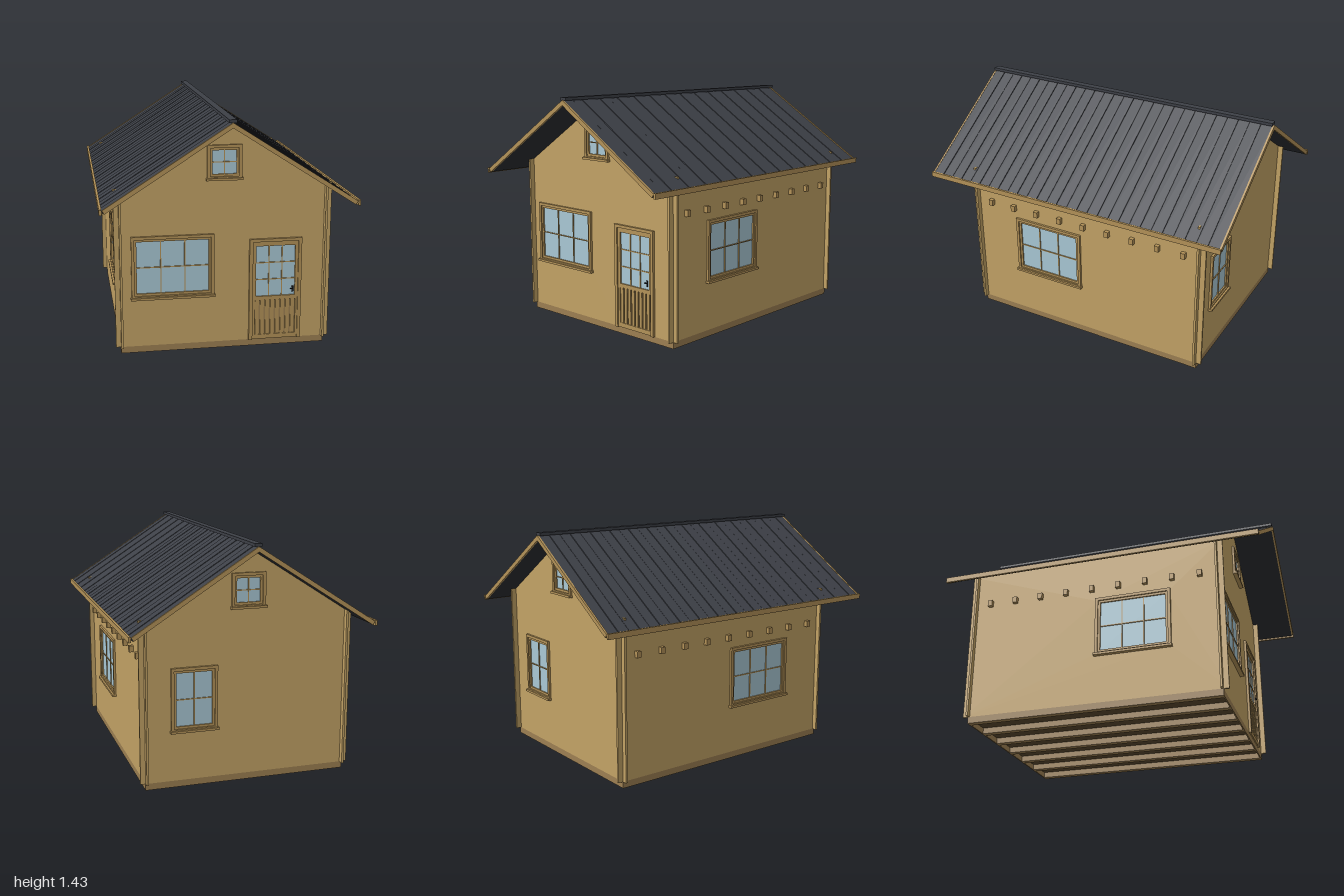
import * as THREE from 'three';

const mat = (color, side = THREE.FrontSide) => new THREE.MeshStandardMaterial({ color, side });
const WALL = mat(0xc2a265), TRIM = mat(0xb39258), BASE = mat(0x9c7f52), FLOOR = mat(0x5c4a2e);
const ROOF = mat(0x3d4047), GAP = mat(0x2b2d31), GLASS = mat(0xa9c8d5), DARK = mat(0x222326);

// Outer wall faces and roof pitch
const X = 0.62, ZF = 0.732, ZB = -0.834, T = 0.013, PITCH = 0.64;

function add(parent, name, geometry, material, x = 0, y = 0, z = 0) {
  const mesh = new THREE.Mesh(geometry, material);
  mesh.name = name;
  mesh.position.set(x, y, z);
  parent.add(mesh);
  return mesh;
}

// Box given by its minimum and maximum corners
function box(parent, name, material, x0, x1, y0, y1, z0, z1) {
  return add(parent, name, new THREE.BoxGeometry(x1 - x0, y1 - y0, z1 - z0), material,
    (x0 + x1) / 2, (y0 + y1) / 2, (z0 + z1) / 2);
}

const rectPoints = (x0, x1, y0, y1) =>
  [[x0, y0], [x1, y0], [x1, y1], [x0, y1]].map(([x, y]) => new THREE.Vector2(x, y));

// Flat plate with rectangular holes, extruded from z = 0 towards +z
function plate(points, holes, depth) {
  const shape = new THREE.Shape(points);
  for (const h of holes) shape.holes.push(new THREE.Path(rectPoints(...h).reverse()));
  return new THREE.ExtrudeGeometry(shape, { depth, bevelEnabled: false });
}

// Roof-shaped layer running from z0 to z1, ends cut square to the slope
function chevron(apex, half, thick, z0, z1) {
  const low = apex - PITCH * half, inset = thick * 0.45;
  const pts = [[0, apex], [-half, low], [-half + inset, low - thick + PITCH * inset], [0, apex - thick],
    [half - inset, low - thick + PITCH * inset], [half, low]].map(([x, y]) => new THREE.Vector2(x, y));
  return plate(pts, [], z1 - z0).translate(0, 0, z0);
}

// Glazing bars over a pane
function bars(group, x0, x1, y0, y1, cols, rows) {
  const w = 0.003;
  for (let i = 1; i < cols; i++) {
    const x = x0 + (x1 - x0) * i / cols;
    box(group, 'glazingBar', TRIM, x - w, x + w, y0, y1, -0.008, 0.003);
  }
  for (let i = 1; i < rows; i++) {
    const y = y0 + (y1 - y0) * i / rows;
    box(group, 'glazingBar', TRIM, x0, x1, y - w, y + w, -0.008, 0.003);
  }
}

// Window facing +z with the wall face at z = 0; [x0, x1, y0, y1] is the casing outline
function makeWindow(name, [x0, x1, y0, y1], cols, rows) {
  const g = new THREE.Group();
  g.name = name;
  const c = 0.018, f = 0.032;
  const opening = [x0 + c, x1 - c, y0 + c, y1 - c];
  const pane = [x0 + f, x1 - f, y0 + f, y1 - f];
  add(g, 'casing', plate(rectPoints(x0, x1, y0, y1), [opening], 0.014), TRIM);
  add(g, 'sash', plate(rectPoints(...opening), [pane], 0.016), TRIM, 0, 0, -0.01);
  box(g, 'sill', TRIM, x0 - 0.006, x1 + 0.006, y0 - 0.004, y0 + 0.01, 0, 0.026);
  box(g, 'glass', GLASS, pane[0], pane[1], pane[2], pane[3], -0.008, -0.003);
  bars(g, ...pane, cols, rows);
  return g;
}

// Wall opening behind a window casing
const hole = ([x0, x1, y0, y1]) => [x0 + 0.016, x1 - 0.016, y0 + 0.016, y1 - 0.016];

function makeDoor() {
  const g = new THREE.Group();
  g.name = 'door';
  const pane = [0.195, 0.435, 0.315, 0.63];
  add(g, 'doorCasing', plate([[0.153, 0.04], [0.175, 0.04], [0.175, 0.658], [0.453, 0.658], [0.453, 0.04],
    [0.473, 0.04], [0.473, 0.676], [0.153, 0.676]].map(p => new THREE.Vector2(...p)), [], 0.016), TRIM);
  add(g, 'doorLeaf', plate(rectPoints(0.175, 0.453, 0.042, 0.658), [pane, [0.19, 0.44, 0.07, 0.29]], 0.016),
    TRIM, 0, 0, -0.008);
  box(g, 'doorGlass', GLASS, ...pane, -0.008, -0.002);
  bars(g, ...pane, 3, 3);
  // Slatted lower panel
  box(g, 'panelBack', BASE, 0.19, 0.44, 0.07, 0.29, -0.008, -0.002);
  for (let i = 0; i < 8; i++) {
    const x = 0.193 + i * 0.0312;
    box(g, 'panelSlat', TRIM, x, x + 0.022, 0.07, 0.29, -0.002, 0.005);
  }
  // Handle
  box(g, 'handlePlate', DARK, 0.416, 0.426, 0.335, 0.373, 0.008, 0.012);
  box(g, 'handleLever', DARK, 0.405, 0.425, 0.355, 0.361, 0.015, 0.021);
  box(g, 'handleStem', DARK, 0.418, 0.424, 0.355, 0.361, 0.01, 0.02);
  return g;
}

export function createModel() {
  const model = new THREE.Group();
  model.name = 'cabin';

  // Floor, joists and rim boards
  const floor = new THREE.Group();
  floor.name = 'floorFrame';
  model.add(floor);
  box(floor, 'floorBoards', FLOOR, -X + 0.002, X - 0.002, 0.036, 0.05, ZB + 0.002, ZF - 0.002);
  for (let i = 0; i < 7; i++) {
    const x = -X + 0.02 + i * (2 * X - 0.04) / 6;
    box(floor, 'joist', BASE, x - 0.02, x + 0.02, 0, 0.04, ZB + 0.008, ZF - 0.008);
  }
  box(floor, 'frontRim', BASE, -X, X, 0, 0.04, ZF - 0.008, ZF);
  box(floor, 'backRim', BASE, -X, X, 0, 0.04, ZB, ZB + 0.008);

  // Gable walls, their ends crossing past the side walls
  const gableOutline = [[-0.65, 0.04], [0.65, 0.04], [0.65, 1.008], [0.6, 1.008], [0, 1.388],
    [-0.6, 1.008], [-0.65, 1.008]].map(p => new THREE.Vector2(...p));
  const frontRect = [-0.552, -0.06, 0.338, 0.72], loftRect = [-0.103, 0.103, 1.046, 1.25];
  const backRect = [-0.465, -0.185, 0.338, 0.72];
  const front = new THREE.Group();
  front.name = 'frontSide';
  front.position.z = ZF;
  add(front, 'frontWall', plate(gableOutline,
    [hole(frontRect), hole(loftRect), [0.17, 0.457, 0.045, 0.662]], T), WALL, 0, 0, -T);
  front.add(makeWindow('frontWindow', frontRect, 3, 2), makeWindow('loftWindow', loftRect, 2, 2), makeDoor());

  const back = new THREE.Group();
  back.name = 'backSide';
  back.position.z = ZB;
  back.rotation.y = Math.PI;
  add(back, 'backWall', plate(gableOutline, [hole(backRect), hole(loftRect)], T), WALL, 0, 0, -T);
  back.add(makeWindow('backWindow', backRect, 2, 2), makeWindow('backLoftWindow', loftRect, 2, 2));
  model.add(front, back);

  // Side walls with window and projecting beam ends
  for (const s of [1, -1]) {
    const side = new THREE.Group();
    side.name = s > 0 ? 'leftSide' : 'rightSide';
    side.position.x = s * X;
    side.rotation.y = s * Math.PI / 2;
    const span = s > 0 ? [-0.764, 0.866] : [-0.866, 0.764]; // local x is -s * z
    const mid = -s * 0.205, rect = [mid - 0.235, mid + 0.235, 0.338, 0.715];
    add(side, 'sideWall', plate(rectPoints(...span, 0.04, 1.0), [hole(rect)], T), WALL, 0, 0, -T);
    side.add(makeWindow('sideWindow', rect, 3, 2));
    for (let i = 0; i < 9; i++) {
      const x = -s * (0.622 - i * 0.169);
      box(side, 'beamEnd', TRIM, x - 0.014, x + 0.014, 0.765, 0.803, -0.005, 0.025);
    }
    model.add(side);
  }

  // Roof deck, narrow covering strips, ridge cap
  const roof = new THREE.Group();
  roof.name = 'roof';
  model.add(roof);
  add(roof, 'roofDeck', chevron(1.407, 0.725, 0.018, -0.99, 0.99), GAP);
  const count = 28, step = 1.98 / count;
  for (let i = 0; i < count; i++) {
    const z = -0.99 + i * step, lift = i % 2 ? 0.003 : 0;
    add(roof, 'roofStrip', chevron(1.411 + lift, 0.728, 0.008, z + 0.002, z + step - 0.002), ROOF);
  }
  box(roof, 'ridgeCap', ROOF, -0.022, 0.022, 1.414, 1.432, -0.992, 0.992);

  // Barge boards on the gables and fascia boards along the eaves
  for (const z of [-1, 0.988]) add(roof, 'bargeBoard', chevron(1.416, 0.725, 0.03, z, z + 0.012), TRIM);
  for (const s of [-1, 1]) {
    add(roof, 'fascia', new THREE.BoxGeometry(0.014, 0.032, 2), TRIM, s * 0.734, 0.941, 0);
  }
  return model;
}
